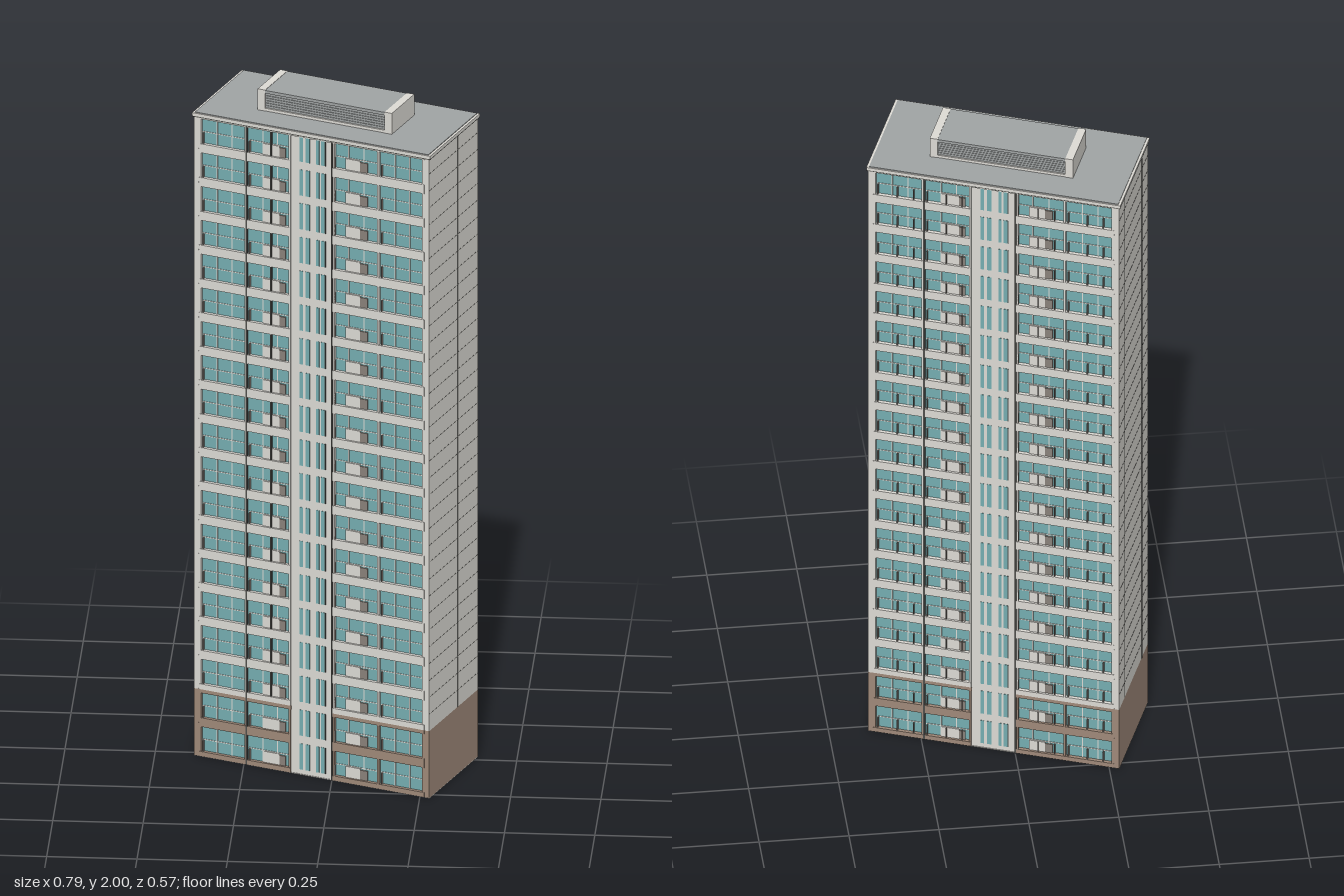
import * as THREE from 'three';
import { mergeGeometries } from 'three/addons/utils/BufferGeometryUtils.js';

const FLOORS = 19, TOP = 1.93, PITCH = TOP / FLOORS;
const HX = 0.358, HZ = 0.161; // half length and half depth of the tower

export function createModel() {
  const model = new THREE.Group();
  model.name = 'apartmentTower';
  model.rotation.y = -0.366;

  const material = (name, color) => {
    const m = new THREE.MeshStandardMaterial({ color });
    m.name = name;
    return m;
  };
  const mats = {
    concrete: material('paleConcrete', 0xdedcd6),
    brown: material('brownCladding', 0xa08a7a),
    glass: material('tealGlass', 0x76afb2),
    roof: material('roofGrey', 0xa1a5a5),
    dark: material('darkMetal', 0x50504c),
    panel: material('balconyPanel', 0x8a827b),
  };

  // Boxes are collected by part name and merged into one mesh per part
  const parts = new Map();
  let flip = false; // true while building the rear facade
  const box = (name, mat, x0, x1, y0, y1, z0, z1) => {
    const g = new THREE.BoxGeometry(x1 - x0, y1 - y0, z1 - z0);
    g.translate((x0 + x1) / 2, (y0 + y1) / 2, (z0 + z1) / 2);
    if (flip) g.rotateY(Math.PI);
    if (!parts.has(name)) parts.set(name, { mat, list: [] });
    parts.get(name).list.push(g);
  };

  const baseTop = PITCH * 2;

  // Structural body and end walls
  box('body', 'concrete', -HX + 0.004, HX - 0.004, 0.002, TOP, -0.145, 0.145);
  box('underside', 'concrete', -HX, HX, 0, 0.002, -HZ + 0.002, HZ - 0.002);
  for (const s of [-1, 1]) {
    const a = s < 0 ? -HX : HX - 0.014, b = a + 0.014;
    box('endWall', 'concrete', a, b, baseTop, TOP, -HZ, HZ);
    box('endWallBase', 'brown', a, b, 0.002, baseTop, -HZ, HZ);
    // Fine panel seams on the end walls
    const e0 = s * HX - 0.0004, e1 = s * HX + 0.0004;
    for (let y = baseTop + PITCH / 2; y < TOP - 0.01; y += PITCH / 2) {
      box('wallSeam', 'dark', e0, e1, y, y + 0.0007, -HZ + 0.003, HZ - 0.003);
    }
    for (const z of s > 0 ? [-0.027, 0.1] : [-0.1]) {
      box('wallSeam', 'dark', e0, e1, baseTop, TOP - 0.01, z - 0.0006, z + 0.0006);
    }
  }
  box('endWallPipe', 'dark', -HX - 0.002, -HX + 0.002, baseTop, TOP - 0.015, 0.0875, 0.0925);

  // Window bays: [start, end] along the facade
  const bays = [[-0.335, -0.202], [-0.194, -0.065], [0.065, 0.2], [0.208, 0.338]];

  const facade = (posts) => {
    // Glass behind the two apartment groups
    for (const [a, b] of [[-0.343, -0.062], [0.062, 0.343]]) {
      box('windowGlass', 'glass', a, b, 0.005, TOP, 0.146, 0.151);
      box('baseHeader', 'brown', a, b, baseTop - 0.011, baseTop, 0.14, HZ);
    }
    // Central stair core
    box('stairCore', 'concrete', -0.064, 0.064, 0.002, TOP, 0.14, 0.157);

    for (let k = 0; k < FLOORS; k++) {
      const y = k * PITCH;
      const [tag, mat] = k < 2 ? ['Base', 'brown'] : ['', 'concrete'];
      const bottom = k === 2 ? y : Math.max(0.002, y - 0.011);
      const sill = y + 0.016, head = y + PITCH - 0.011;
      const rail = sill + 0.033;

      for (const s of [-1, 1]) {
        const a = s < 0 ? -0.343 : 0.064, b = a + 0.279;
        box('spandrel' + tag, mat, a, b, bottom, sill, 0.14, HZ);
        for (const [x, r] of [[0.34, 0.004], [0.202, 0.003], [0.067, 0.003]]) {
          box('pier' + tag, mat, s * x - r, s * x + r, y + 0.002, y + PITCH, 0.14, HZ - 0.001);
        }
      }
      for (const [a, b] of bays) {
        const w = b - a;
        for (const f of [0.33, 0.67]) {
          const x = a + w * f;
          box('mullion', 'concrete', x - 0.0015, x + 0.0015, sill, head, 0.149, 0.153);
        }
        box('transom', 'concrete', a, b, rail, rail + 0.0025, 0.149, 0.1525);
        // Short balustrade posts standing on the sill
        for (const f of posts) {
          const x = a + w * f;
          box('balustradePost', 'panel', x - 0.0013, x + 0.0013, sill, rail, 0.15, HZ - 0.001);
        }
      }
      // Solid balcony panels with a dark infill beside them
      for (const [a, b, c] of [[-0.15, -0.1, -0.082], [0.1, 0.145, 0.167]]) {
        box('balconyPanel', 'concrete', a, b, sill, rail, 0.149, 0.155);
        box('balconyInfill', 'panel', b, c, sill, rail - 0.004, 0.149, 0.155);
      }
      // Slim stair windows
      for (const [a, b] of [[-0.038, -0.028], [-0.02, -0.007], [0.013, 0.022], [0.027, 0.039]]) {
        box('stairWindow', 'glass', a, b, y + 0.016, y + PITCH - 0.008, 0.156, 0.158);
      }
      box('stairWindowFrame', 'dark', 0.039, 0.042, y + 0.016, y + PITCH - 0.008, 0.156, 0.1585);
    }
    box('topBeam', 'concrete', -0.343, 0.343, TOP - 0.011, TOP, 0.14, HZ);

    // Full-height drainpipes
    for (const x of [-0.198, 0.062]) {
      box('drainpipe', 'dark', x - 0.0025, x + 0.0025, 0.002, TOP, HZ - 0.004, HZ + 0.002);
    }
  };
  facade([0.03]);
  // Inner pipe passing behind the front spandrels
  box('innerPipe', 'dark', -0.127, -0.123, baseTop, TOP - 0.005, 0.15, HZ - 0.002);
  flip = true;
  facade([0.03, 0.45, 0.8]);
  flip = false;

  // Roof slab with a thin pale edge
  box('roofEdge', 'concrete', -HX - 0.004, HX + 0.004, TOP - 0.004, TOP + 0.005, -HZ - 0.003, HZ + 0.003);
  box('roofEdgeShadow', 'dark', -HX - 0.003, HX + 0.003, TOP - 0.007, TOP - 0.004, -HZ - 0.002, HZ + 0.002);
  box('roofDeck', 'roof', -HX + 0.003, HX - 0.003, TOP + 0.003, TOP + 0.007, -HZ + 0.001, HZ - 0.001);

  // Rooftop plant room: pale end blocks, louvred sides, flat lid
  const deck = TOP + 0.006, px = 0.182, pz = 0.074;
  for (const s of [-1, 1]) {
    box('plantRoomEnd', 'concrete', s * 0.193 - 0.011, s * 0.193 + 0.011, deck, 2, -pz, pz);
    box('plantRoomSill', 'concrete', -px, px, deck, deck + 0.009, s * 0.07 - 0.003, s * 0.07 + 0.003);
    box('plantRoomHead', 'concrete', -px, px, 1.99, 1.997, s * 0.07 - 0.003, s * 0.07 + 0.003);
    for (let i = 0; i < 6; i++) {
      const y = deck + 0.01 + i * 0.0074;
      box('louvre', 'roof', -px, px, y, y + 0.0064, s * 0.067 - 0.003, s * 0.067 + 0.003);
    }
  }
  box('plantRoomCore', 'dark', -px, px, deck, 1.99, -0.066, 0.066);
  box('plantRoomLid', 'roof', -px, px, 1.99, 1.999, -0.0735, 0.0735);

  for (const [name, { mat, list }] of parts) {
    const mesh = new THREE.Mesh(mergeGeometries(list), mats[mat]);
    mesh.name = name;
    model.add(mesh);
  }
  const root = new THREE.Group();
  root.name = 'tower';
  root.add(model);
  return root;
}
